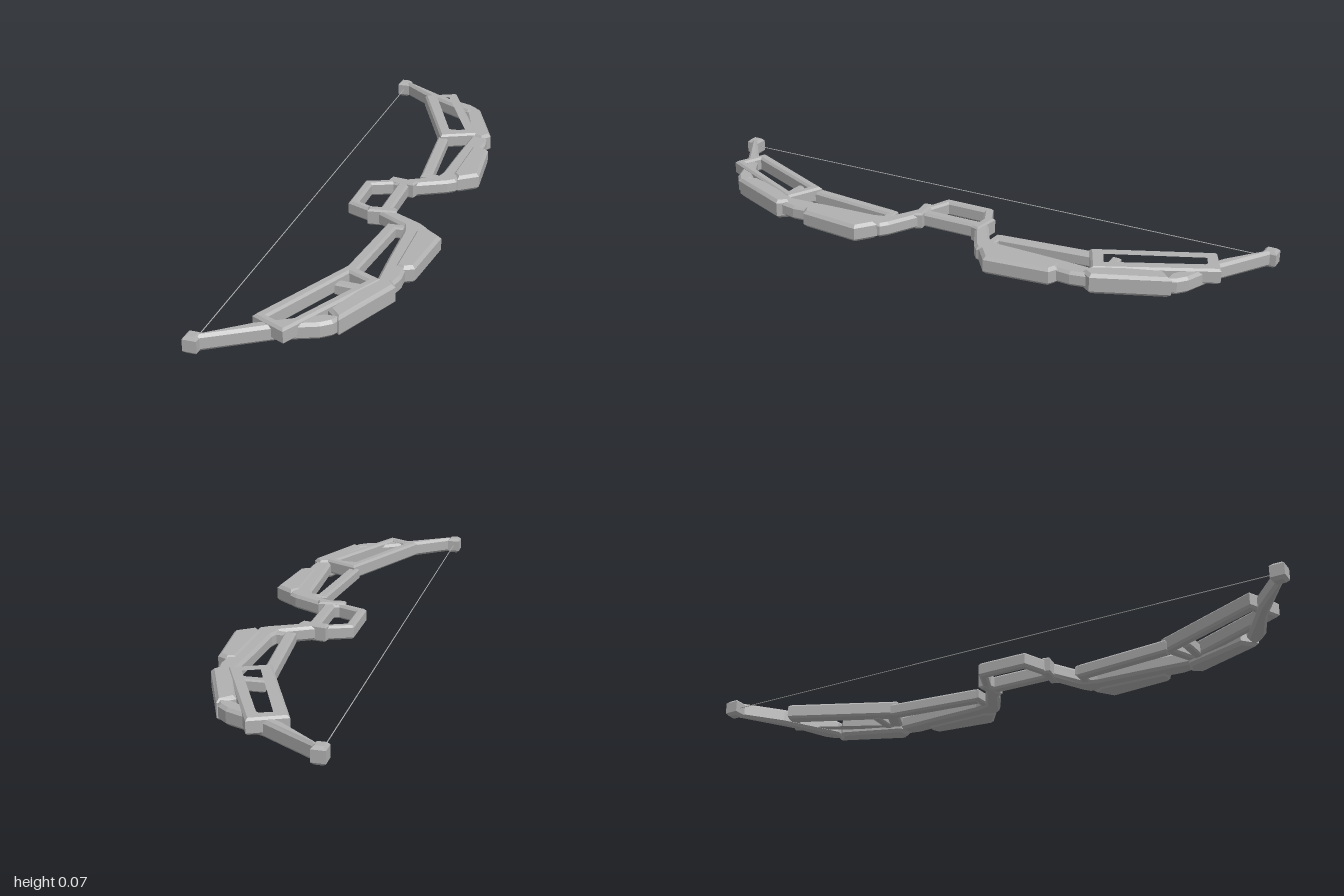
import * as THREE from 'three';

export function createModel() {
  const bow = new THREE.Group();
  bow.name = 'bow';
  const metal = new THREE.MeshStandardMaterial({ name: 'grey metal', color: 0xb0b0b0, flatShading: true });

  // Chamfered plate: outline and holes are [x, z] points, side mirrors it along z
  function plate(name, side, points, y0, y1, bevel, holes = []) {
    const toVectors = list => list.map(([x, z]) => new THREE.Vector2(x, -z * side));
    const shape = new THREE.Shape(toVectors(points));
    for (const hole of holes) shape.holes.push(new THREE.Path(toVectors(hole)));
    const geometry = new THREE.ExtrudeGeometry(shape, {
      depth: y1 - y0 - 2 * bevel, bevelThickness: bevel, bevelSize: bevel, bevelOffset: -bevel, bevelSegments: 1
    });
    geometry.rotateX(-Math.PI / 2);
    geometry.translate(0, y0 + bevel, 0);
    const mesh = new THREE.Mesh(geometry, metal);
    mesh.name = name;
    bow.add(mesh);
  }

  // Two mirrored limbs
  for (const s of [1, -1]) {
    plate('stringNock', s, [[-0.256, 0.955], [-0.213, 0.955], [-0.213, 1], [-0.256, 1]], 0.005, 0.06, 0.009);

    plate('limbTip', s, [[-0.225, 0.965], [-0.105, 0.868], [0.07, 0.765], [0.12, 0.765], [0.105, 0.8],
      [0.075, 0.825], [-0.04, 0.872], [-0.22, 0.985]], 0.008, 0.06, 0.009);

    plate('limbFrame', s, [[-0.115, 0.845], [-0.005, 0.897], [0.165, 0.55], [0.045, 0.493]], 0.018, 0.068, 0.007,
      [[[-0.072, 0.835], [-0.018, 0.858], [0.123, 0.566], [0.06, 0.537]]]);

    plate('outerArmour', s, [[0.07, 0.745], [0.115, 0.787], [0.21, 0.565], [0.185, 0.53], [0.14, 0.545]],
      0, 0.065, 0.01);

    plate('riser', s, [[0.145, 0.57], [0.195, 0.57], [0.208, 0.5], [0.2, 0.4], [0.19, 0.175], [0.165, 0.155],
      [0.05, 0.095], [0.012, 0.125], [0.115, 0.185], [0.128, 0.23], [0.135, 0.4]], 0.01, 0.058, 0.009);

    plate('innerArmour', s, [[0.17, 0.45], [0.2, 0.458], [0.231, 0.442], [0.252, 0.232], [0.19, 0.185],
      [0.165, 0.22]], 0.005, 0.063, 0.01);

    // Thin brace with its two short links to the riser
    plate('brace', s, [[0.03, 0.515], [0.068, 0.515], [0.1, 0.19], [0.062, 0.19]], 0.012, 0.055, 0.007);
    plate('innerLink', s, [[0.062, 0.182], [0.14, 0.177], [0.14, 0.205], [0.062, 0.21]], 0.015, 0.053, 0.005);
    plate('outerLink', s, [[0.035, 0.565], [0.15, 0.57], [0.15, 0.6], [0.035, 0.595]], 0.015, 0.053, 0.005);

    plate('gripClamp', s, [[-0.025, 0.102], [0.065, 0.09], [0.075, 0.12], [-0.02, 0.133]], 0.008, 0.063, 0.006);
  }

  // Grip with its hand guard
  plate('grip', 1, [[-0.1, 0.085], [0, 0.125], [0.048, 0.115], [0.048, -0.115], [0, -0.125], [-0.1, -0.085]],
    0.01, 0.057, 0.007,
    [[[-0.07, 0.066], [-0.005, 0.094], [0.01, 0.09], [0.01, -0.09], [-0.005, -0.094], [-0.07, -0.066]]]);

  // Bowstring
  const string = new THREE.Mesh(new THREE.CylinderGeometry(0.0015, 0.0015, 1.92, 6), metal);
  string.name = 'bowstring';
  string.rotation.x = Math.PI / 2;
  string.position.set(-0.234, 0.033, 0);
  bow.add(string);

  return bow;
}
